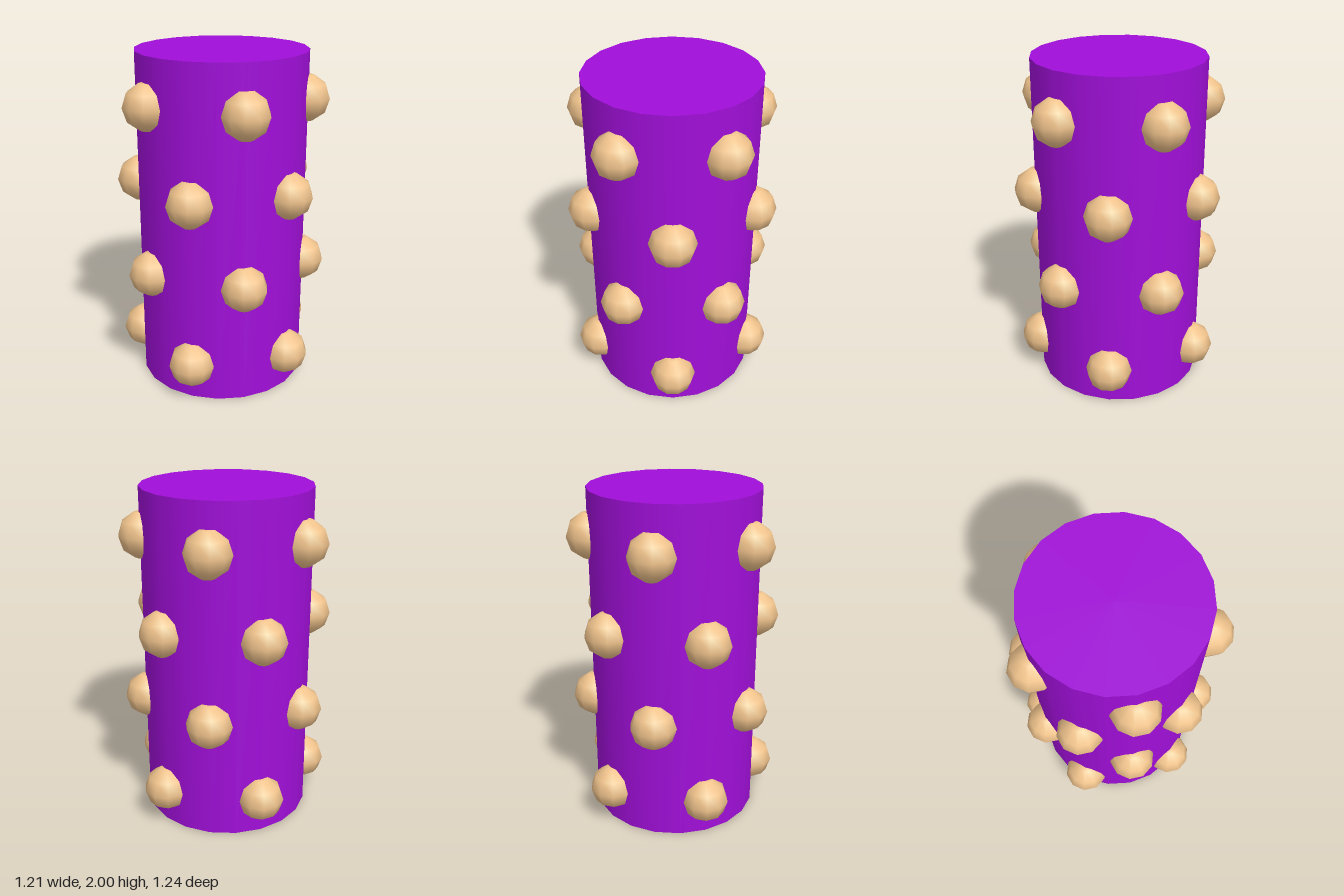
import * as THREE from 'three';

const ROWS = 4, PER_ROW = 5;
const BALL_R = 0.137, RING_R = 0.49;

// Ball from five half-offset rings, so both poles end in small flats
function ballGeometry() {
  const profile = [new THREE.Vector2(0, -BALL_R * Math.cos(Math.PI / 10))];
  for (let i = 0; i < 5; i++) {
    const a = ((i + 0.5) * Math.PI) / 5;
    profile.push(new THREE.Vector2(BALL_R * Math.sin(a), -BALL_R * Math.cos(a)));
  }
  profile.push(new THREE.Vector2(0, BALL_R * Math.cos(Math.PI / 10)));
  return new THREE.LatheGeometry(profile, 10, Math.PI / 2);
}

export function createModel() {
  const group = new THREE.Group();
  group.name = 'studdedCylinder';

  // Main column
  const column = new THREE.Mesh(
    new THREE.CylinderGeometry(0.5, 0.5, 2, 20),
    new THREE.MeshStandardMaterial({ color: 0xa00fd8 })
  );
  column.name = 'column';
  column.position.y = 1;
  group.add(column);

  // Staggered rows of half-sunk balls, all in the same orientation
  const geometry = ballGeometry();
  const material = new THREE.MeshStandardMaterial({ color: 0xf0c38c });
  for (let row = 0; row < ROWS; row++) {
    const ring = new THREE.Group();
    ring.name = `studRow${row + 1}`;
    ring.position.y = 0.22 + row * 0.5;
    for (let i = 0; i < PER_ROW; i++) {
      const a = ((i + (row % 2) / 2) * 2 * Math.PI) / PER_ROW;
      const stud = new THREE.Mesh(geometry, material);
      stud.name = 'stud';
      stud.position.set(RING_R * Math.sin(a), 0, RING_R * Math.cos(a));
      ring.add(stud);
    }
    group.add(ring);
  }
  return group;
}
